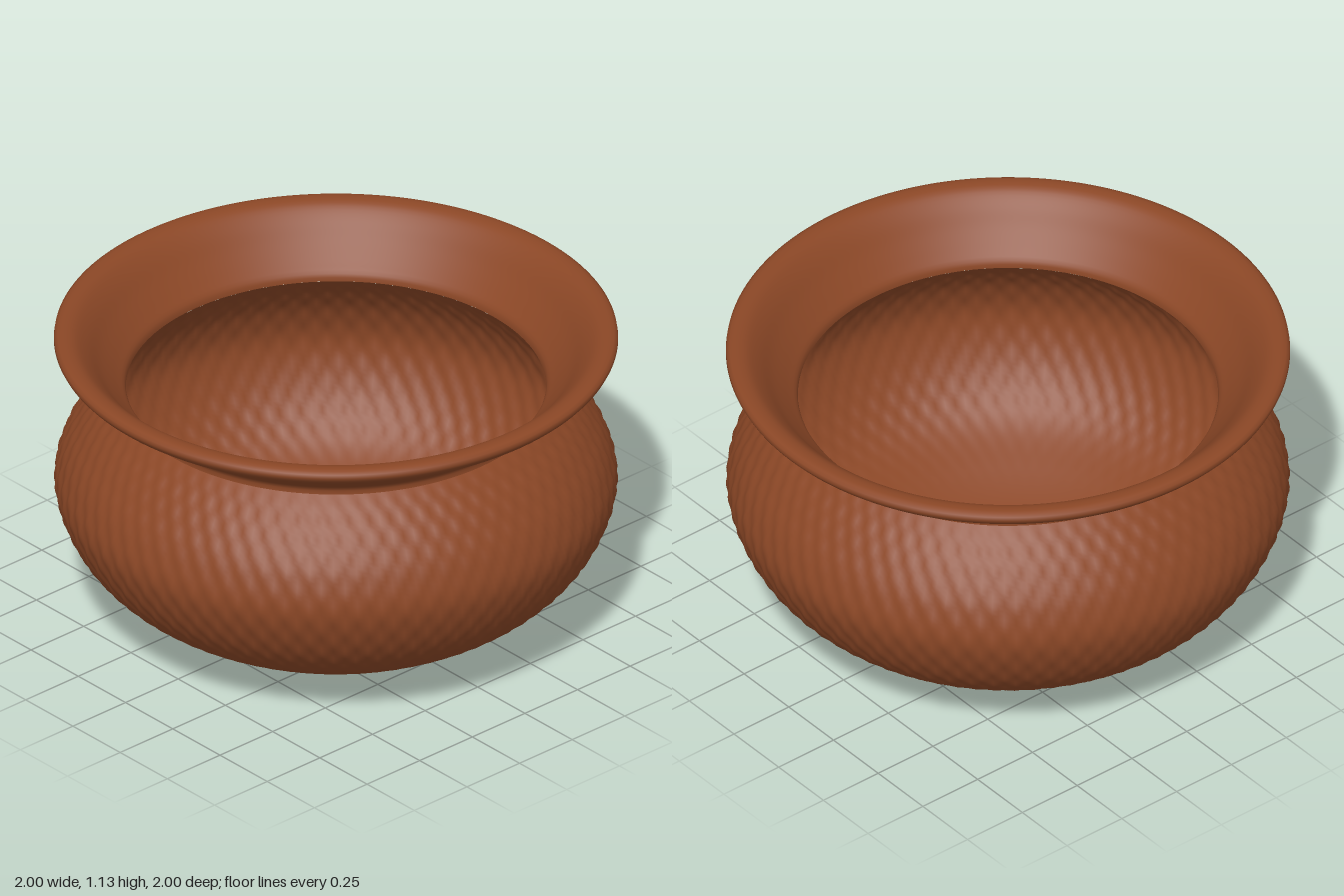
import * as THREE from 'three';
import { mergeVertices } from 'three/addons/utils/BufferGeometryUtils.js';

const SEGMENTS = 288;
const DIMPLES = 72; // hammer marks around the pot
const ROW = 0.07;   // height of one row of marks

const clay = new THREE.MeshStandardMaterial({ color: 0x8b4726 });
clay.name = 'terracotta';

const toPoints = (pairs) => pairs.map(([x, y]) => new THREE.Vector2(x, y));

// Smooth profile through the given points
const smooth = (pairs, n) => new THREE.SplineCurve(toPoints(pairs)).getSpacedPoints(n);

// Revolve a profile; depth > 0 adds staggered hammer marks along its length
function revolve(name, profile, depth = 0) {
  const geo = new THREE.LatheGeometry(profile, SEGMENTS);
  const pos = geo.attributes.position;
  const rows = profile.length;
  const along = [0];
  for (let j = 1; j < rows; j++) along.push(along[j - 1] + profile[j].distanceTo(profile[j - 1]));
  if (depth) {
    for (let i = 0; i < pos.count; i++) {
      const j = i % rows;
      const angle = (Math.floor(i / rows) / SEGMENTS) * Math.PI * 2;
      const { x: r, y } = profile[j];
      // Marks fade out towards the base and the neck
      const fade = THREE.MathUtils.smoothstep(y, 0.06, 0.3) * (1 - THREE.MathUtils.smoothstep(y, 0.86, 0.92));
      const wave = Math.cos(DIMPLES * angle) * Math.cos((Math.PI * along[j]) / ROW);
      const scale = 1 + (depth * fade * wave) / r;
      pos.setX(i, pos.getX(i) * scale);
      pos.setZ(i, pos.getZ(i) * scale);
    }
  }
  // Weld the seam so shading is continuous
  geo.deleteAttribute('uv');
  geo.deleteAttribute('normal');
  const welded = mergeVertices(geo, 1e-5);
  welded.computeVertexNormals();
  const mesh = new THREE.Mesh(welded, clay);
  mesh.name = name;
  return mesh;
}

export function createModel() {
  const pot = new THREE.Group();
  pot.name = 'clayPot';

  // Belly from the edge of the base up to the neck
  const belly = [
    [0.33, 0.004], [0.48, 0.036], [0.64, 0.1], [0.81, 0.21], [0.93, 0.35],
    [0.992, 0.52], [0.965, 0.66], [0.89, 0.78], [0.81, 0.865], [0.765, 0.905],
  ];
  pot.add(revolve('belly', smooth(belly, 80), 0.005));

  // Flat base
  pot.add(revolve('base', toPoints([[0, 0], [0.31, 0], [0.33, 0.004]])));

  // Flared rim: outside, rounded lip, then down the inside
  const rim = [
    [0.765, 0.905], [0.768, 0.932], [0.82, 0.972], [0.9, 1.022], [0.972, 1.07],
    [0.997, 1.1], [0.992, 1.12], [0.965, 1.127], [0.925, 1.118], [0.88, 1.08],
    [0.83, 1.02], [0.78, 0.965], [0.748, 0.93], [0.743, 0.905],
  ];
  pot.add(revolve('rim', smooth(rim, 48)));

  // Inner wall follows the belly, a wall thickness inside it
  const inner = belly.slice().reverse().map(([x, y]) => [x - 0.022, y < 0.2 ? y + 0.018 : y]);
  pot.add(revolve('innerWall', smooth(inner, 80), 0.005));

  // Inside floor
  pot.add(revolve('floor', toPoints([[0.308, 0.022], [0.28, 0.02], [0, 0.02]])));

  return pot;
}
